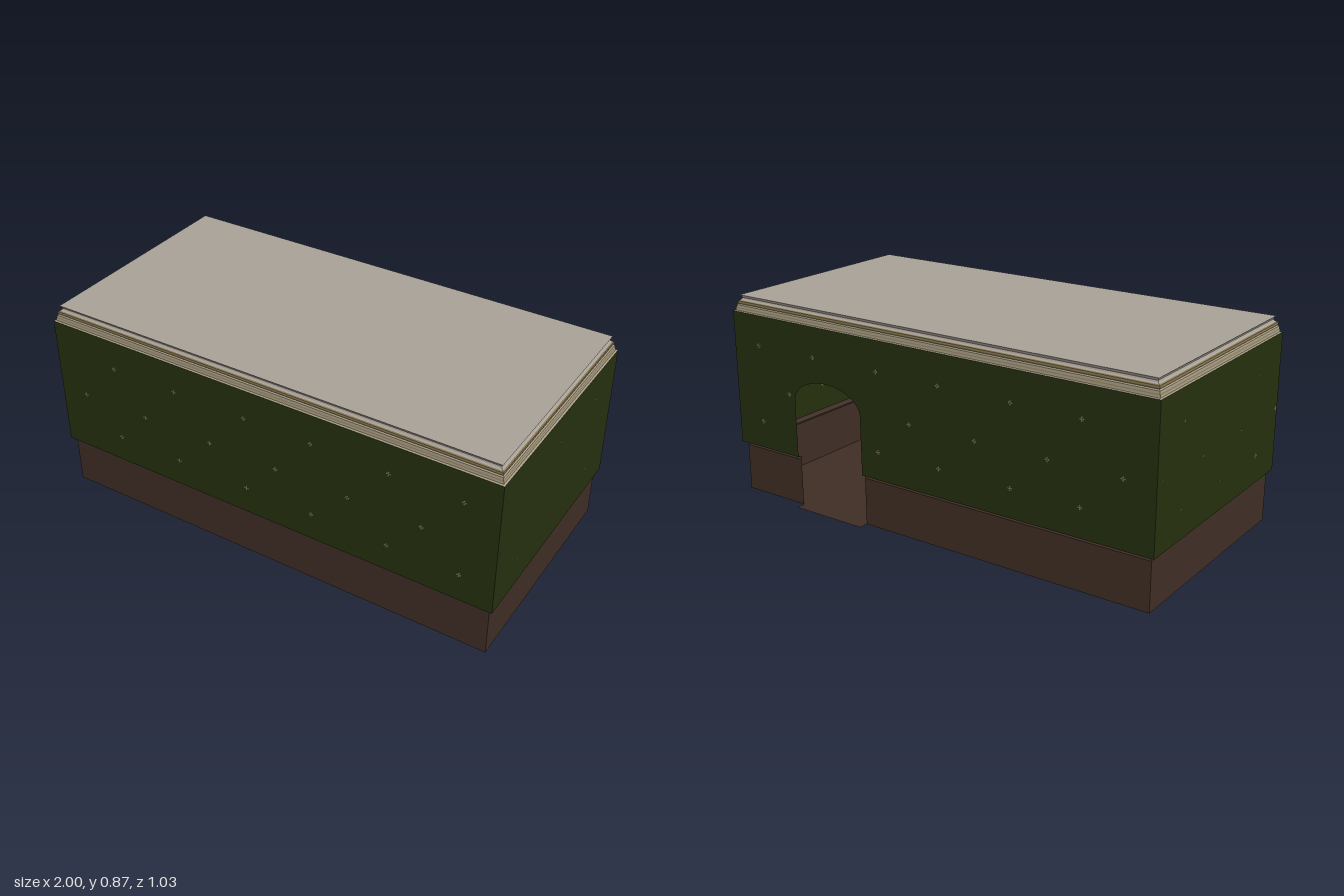
import * as THREE from 'three';
import { mergeGeometries } from 'three/addons/utils/BufferGeometryUtils.js';

const HX = 1, HZ = 0.503, ZC = 0.008;      // room half sizes and centre
const DOOR = { left: 0.32, right: 0.67, spring: 0.47, rise: 0.1 };

const paint = (name, color) => {
  const m = new THREE.MeshStandardMaterial({ color, side: THREE.DoubleSide });
  m.name = name;
  return m;
};

// Sweeps a profile of [inset, height] points around the room.
// Path points: [x, sx, sz]; x is a fixed position when sx is 0, otherwise a corner.
function sweep(path, profile) {
  const pos = [];
  const at = ([x, sx, sz], [d, y]) => [sx ? sx * (HX - d) : x, y, ZC + sz * (HZ - d)];
  for (let i = 0; i < path.length - 1; i++) {
    for (let j = 0; j < profile.length - 1; j++) {
      const a = at(path[i], profile[j]), b = at(path[i + 1], profile[j]);
      const c = at(path[i + 1], profile[j + 1]), d = at(path[i], profile[j + 1]);
      pos.push(...a, ...b, ...c, ...a, ...c, ...d);
    }
  }
  const g = new THREE.BufferGeometry();
  g.setAttribute('position', new THREE.Float32BufferAttribute(pos, 3));
  g.computeVertexNormals();
  return g;
}

// Small four-petalled wall flower lying in the xy plane
function flowerGeometry() {
  const parts = [new THREE.CircleGeometry(0.003, 6)];
  for (let i = 0; i < 4; i++) {
    const a = i * Math.PI / 2;
    parts.push(new THREE.CircleGeometry(0.0035, 6).translate(Math.cos(a) * 0.0068, Math.sin(a) * 0.0068, 0));
  }
  return mergeGeometries(parts);
}

export function createModel() {
  const room = new THREE.Group();
  room.name = 'room';
  const green = paint('wall green', 0x26300f);
  const brown = paint('wood brown', 0x3f2e25);
  const grey = paint('ceiling grey', 0xa8a198);
  const cream = paint('moulding cream', 0xa89d86);
  const gold = paint('moulding gold', 0x857550);

  const add = (name, geometry, material, parent = room) => {
    const mesh = new THREE.Mesh(geometry, material);
    mesh.name = name;
    parent.add(mesh);
    return mesh;
  };

  const sides = [[0, 1, -1], [0, 1, 1], [0, -1, 1], [0, -1, -1]];
  const ring = [...sides, sides[0]];
  const doorRing = [[DOOR.right, 0, -1], ...sides, [DOOR.left, 0, -1]];

  // Floor, with a threshold running out through the doorway
  const slab = (w, d, x, y, z) => new THREE.PlaneGeometry(w, d).rotateX(-Math.PI / 2).translate(x, y, z);
  add('floor', slab(1.966, 0.972, 0, 0, ZC), brown);
  add('threshold', slab(DOOR.right - DOOR.left, 0.04, (DOOR.left + DOOR.right) / 2, 0, -0.498), brown);

  // Skirting with a rounded lip, broken at the door
  add('skirting', sweep(doorRing, [[0.017, 0], [0.017, 0.203], [0.021, 0.207], [0.022, 0.212],
    [0.017, 0.217], [0.008, 0.22], [0, 0.222]]), brown);

  // Front and side walls
  add('walls', sweep(sides, [[0, 0.22], [0, 0.8]]), green);

  // Back wall with the arched doorway cut out
  const back = new THREE.Shape();
  const mid = (DOOR.left + DOOR.right) / 2, half = (DOOR.right - DOOR.left) / 2;
  back.moveTo(-HX, 0.22);
  back.lineTo(DOOR.left, 0.22);
  back.lineTo(DOOR.left, DOOR.spring);
  back.absellipse(mid, DOOR.spring, half, DOOR.rise, Math.PI, 0, true);
  back.lineTo(DOOR.right, 0.22);
  back.lineTo(HX, 0.22);
  back.lineTo(HX, 0.8);
  back.lineTo(-HX, 0.8);
  add('backWall', new THREE.ShapeGeometry(back, 16).translate(0, 0, ZC - HZ), green);

  // Stepped crown moulding
  const crown = new THREE.Group();
  crown.name = 'crownMoulding';
  room.add(crown);
  add('crownLower', sweep(ring, [[0, 0.8], [0.008, 0.802], [0.009, 0.811]]), cream, crown);
  add('crownBead', sweep(ring, [[0.009, 0.811], [0.011, 0.815]]), gold, crown);
  add('crownMiddle', sweep(ring, [[0.011, 0.815], [0.012, 0.825], [0.017, 0.829]]), cream, crown);
  add('crownGoldBand', sweep(ring, [[0.017, 0.829], [0.015, 0.834], [0.016, 0.841], [0.021, 0.844]]), gold, crown);
  add('crownCove', sweep(ring, [[0.021, 0.844], [0.027, 0.848], [0.03, 0.854], [0.027, 0.861], [0.022, 0.866]]), grey, crown);

  // Ceiling
  add('ceiling', slab(2 * (HX - 0.022), 2 * (HZ - 0.022), 0, 0.866, ZC), grey);

  // Rows of small flowers on both faces of every wall
  const flowers = new THREE.Group();
  flowers.name = 'wallFlowers';
  room.add(flowers);
  const petal = flowerGeometry();
  const longRow = [-0.7, -0.4, -0.07, 0.23, 0.56, 0.86], longMid = [-0.87, -0.56, -0.24, 0.07, 0.39, 0.7];
  const sideRow = [0.325, 0.018, -0.308], sideMid = [0.49, 0.18, -0.143, -0.452];
  const rows = (outer, inner) => [[0.672, outer], [0.49, inner], [0.34, outer]];
  const spots = [];
  for (const off of [-0.002, 0.002]) {
    for (const s of [-1, 1]) {
      for (const [y, xs] of rows(longRow, longMid)) {
        for (const x of xs) {
          const inDoor = s < 0 && y < 0.58 && x > DOOR.left - 0.02 && x < DOOR.right + 0.02;
          if (!inDoor) spots.push(petal.clone().translate(x, y, ZC + s * HZ + off));
        }
      }
      for (const [y, zs] of rows(sideRow, sideMid)) {
        for (const z of zs) spots.push(petal.clone().rotateY(Math.PI / 2).translate(s * HX + off, y, z));
      }
    }
  }
  add('flowers', mergeGeometries(spots), gold, flowers);

  return room;
}
